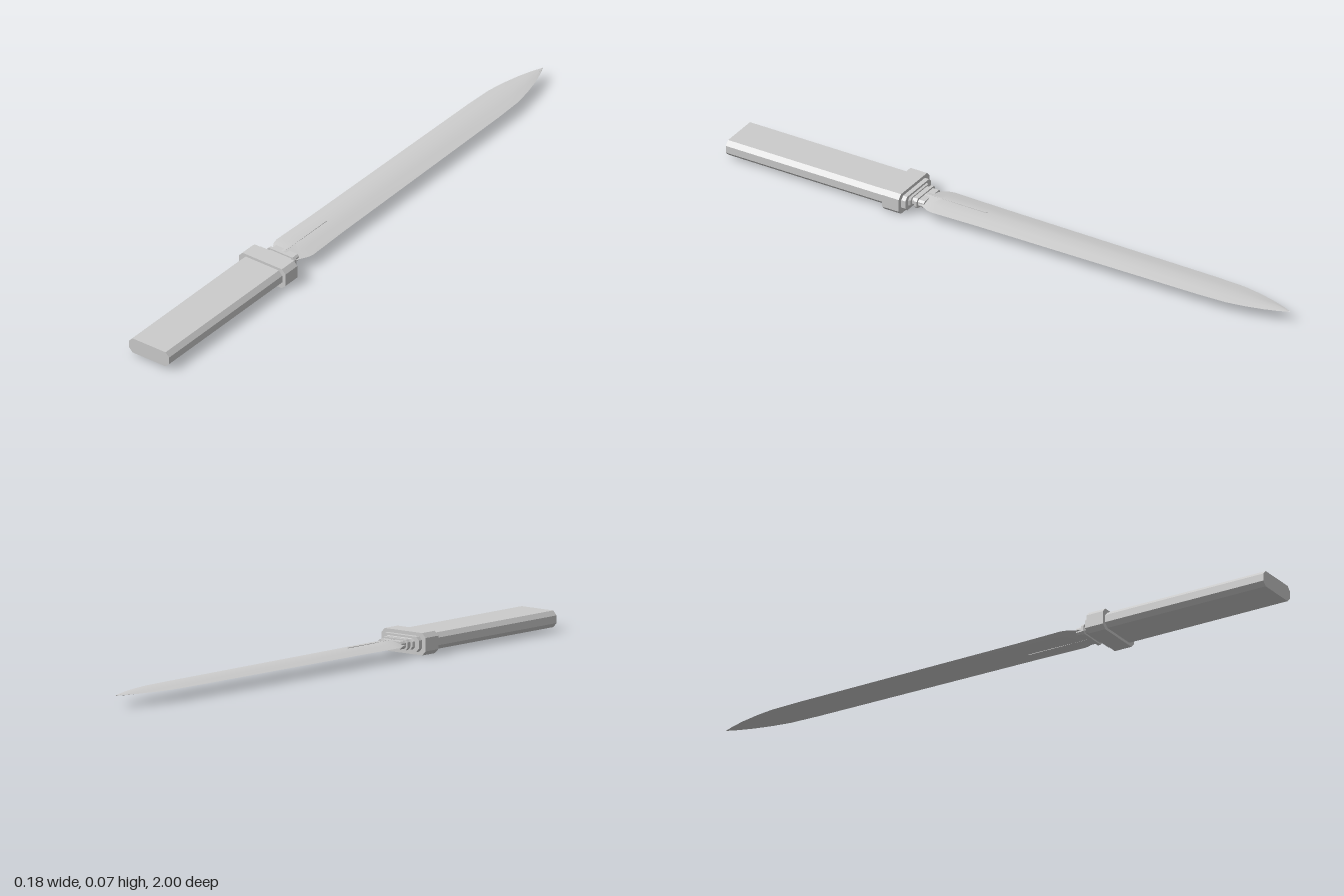
import * as THREE from 'three';
import { toCreasedNormals } from 'three/addons/utils/BufferGeometryUtils.js';

const MID = 0.035; // height of the central plane

// Skin a row of cross-sections (each [z, outline]) running from +z to -z, with end caps.
function loft(sections, crease) {
  const pos = [], idx = [], n = sections[0][1].length;
  for (const [z, outline] of sections) for (const [x, y] of outline) pos.push(x, MID + y, z);
  for (let s = 0; s < sections.length - 1; s++) {
    for (let i = 0; i < n; i++) {
      const a = s * n + i, b = s * n + (i + 1) % n, c = b + n, d = a + n;
      idx.push(a, d, c, a, c, b);
    }
  }
  const last = (sections.length - 1) * n;
  for (let i = 1; i < n - 1; i++) idx.push(0, i, i + 1, last, last + i + 1, last + i);
  const g = new THREE.BufferGeometry();
  g.setAttribute('position', new THREE.Float32BufferAttribute(pos, 3));
  g.setIndex(idx);
  return toCreasedNormals(g, crease);
}

// Rectangle with cut corners
const octagon = (w, h, c) => [
  [w, c - h], [w, h - c], [w - c, h], [c - w, h],
  [-w, h - c], [-w, c - h], [c - w, -h], [w - c, -h],
];

// Slim lens with a central ridge
const lens = (w, h) => [
  [w, 0], [w * 0.5, h * 0.62], [0, h], [-w * 0.5, h * 0.62],
  [-w, 0], [-w * 0.5, -h * 0.62], [0, -h], [w * 0.5, -h * 0.62],
];

export function createModel() {
  const group = new THREE.Group();
  const steel = new THREE.MeshStandardMaterial({ color: 0xcccccc });
  steel.name = 'light grey';
  const add = (name, geometry) => {
    const mesh = new THREE.Mesh(geometry, steel);
    mesh.name = name;
    group.add(mesh);
  };

  // Prismatic pieces: name, front z, back z, half width, half height, corner cut
  const prisms = [
    ['handle', 1.0, 0.42, 0.078, 0.026, 0.014],
    ['guard', 0.425, 0.365, 0.09, 0.035, 0.014],
    ['collarLarge', 0.37, 0.35, 0.075, 0.024, 0.011],
    ['neck', 0.355, 0.3, 0.047, 0.012, 0.006],
    ['neckRing', 0.332, 0.322, 0.054, 0.017, 0.008],
  ];
  for (const [name, z0, z1, w, h, c] of prisms) {
    add(name, loft([[z0, octagon(w, h, c)], [z1, octagon(w, h, c)]], 0.1));
  }
  // Narrow collar tapering towards the blade
  add('collarSmall', loft([[0.352, octagon(0.06, 0.018, 0.008)], [0.343, octagon(0.055, 0.016, 0.008)]], 0.1));

  // Blade stations: z, half width, half thickness
  const stations = [
    [0.325, 0.047, 0.014], [0.305, 0.052, 0.014], [0.28, 0.066, 0.014], [0.26, 0.071, 0.014],
    [0.22, 0.07, 0.013], [0.1, 0.067, 0.0125], [-0.25, 0.064, 0.011], [-0.7, 0.06, 0.008],
    [-0.8, 0.056, 0.007], [-0.86, 0.046, 0.006], [-0.92, 0.031, 0.0045],
    [-0.965, 0.016, 0.003], [-1, 0.0005, 0.0005],
  ];
  add('blade', loft(stations.map(([z, w, h]) => [z, lens(w, h)]), 0.3));

  // Slim raised rib at the root of the blade, on both faces
  for (const side of [1, -1]) {
    const rib = new THREE.BoxGeometry(0.004, 0.003, 0.22);
    rib.translate(0, MID + side * 0.0125, 0.21);
    add(side > 0 ? 'upperRib' : 'lowerRib', rib);
  }
  return group;
}
